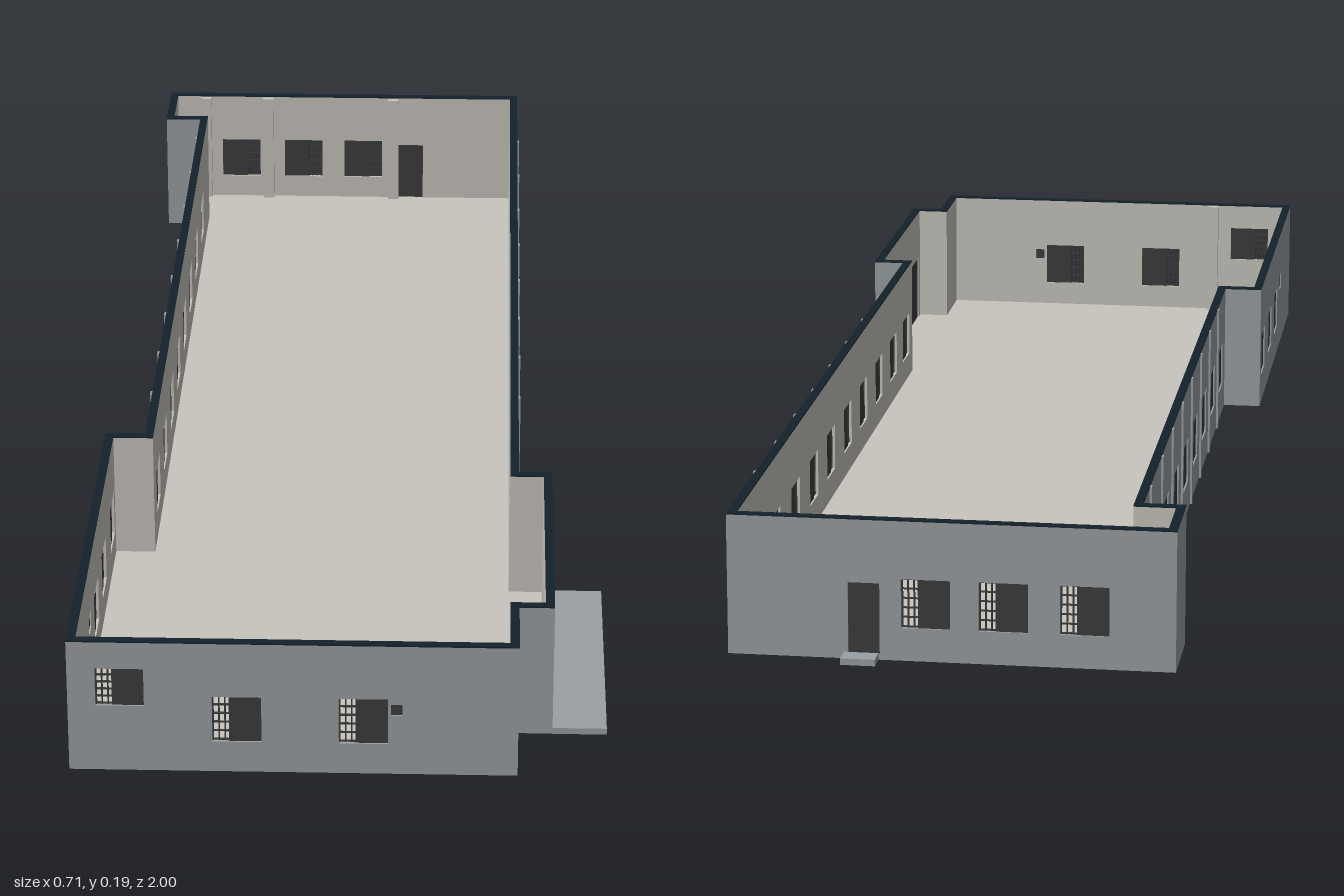
import * as THREE from 'three';

const mat = (name, color) => {
  const m = new THREE.MeshStandardMaterial({ color });
  m.name = name;
  return m;
};

export function createModel() {
  const root = new THREE.Group();
  root.name = 'openRoofBuilding';
  const grey = mat('outerWallGrey', 0x9aa0a3);
  const beige = mat('innerBeige', 0xc8c5bd);
  const navy = mat('wallTopNavy', 0x14222b);
  const dark = mat('windowDark', 0x3c3c3c);
  const pale = mat('paleDoor', 0xcdc6b6);
  const H = 0.193, T = 0.012, FLOOR = 0.008;

  const box = (parent, name, m, w, h, d, x, y, z) => {
    const b = new THREE.Mesh(new THREE.BoxGeometry(w, h, d), m);
    b.position.set(x, y, z);
    b.name = name;
    parent.add(b);
    return b;
  };

  // Outer plan as [x, z], walked so the outside is always on the right hand
  const plan = [
    [-0.357, 0.998], [0.237, 0.998], [0.237, 0.885], [0.284, 0.885],
    [0.284, 0.482], [0.237, 0.482], [0.237, -0.972], [-0.357, -0.972],
    [-0.357, -0.851], [-0.3, -0.851], [-0.3, 0.374], [-0.357, 0.374],
  ];
  const n = plan.length;
  const at = (i) => plan[(i + n) % n];
  const dir = (i) => {
    const a = at(i), b = at(i + 1), l = Math.hypot(b[0] - a[0], b[1] - a[1]);
    return [(b[0] - a[0]) / l, (b[1] - a[1]) / l];
  };
  // Inset of the right-angled plan; outward normal of a wall is (-dz, dx)
  const inset = (d) => plan.map((p, i) => {
    const e = dir((i + n - 1) % n), f = dir(i);
    return new THREE.Vector2(p[0] + (e[1] + f[1]) * d, -(p[1] - (e[0] + f[0]) * d));
  });
  const convex = (i) => {
    const e = dir((i + n - 1) % n), f = dir((i + n) % n);
    return e[0] * f[1] - e[1] * f[0] < 0;
  };
  const slab = (name, m, shape, y, h) => {
    const g = new THREE.ExtrudeGeometry(shape, { depth: h, bevelEnabled: false });
    g.rotateX(-Math.PI / 2);
    const mesh = new THREE.Mesh(g, m);
    mesh.position.y = y;
    mesh.name = name;
    root.add(mesh);
  };

  // Openings per wall: c = centre along the wall's world axis
  const win = (c) => ({ c, w: 0.065, y0: 0.045, y1: 0.112, kind: 'window' });
  const row = [0.305, 0.166, 0.022, -0.118, -0.262, -0.401, -0.545, -0.69];
  const openings = {
    0: [{ c: -0.288, w: 0.064, y0: 0.097, y1: 0.152, kind: 'window' }, win(-0.134), win(0.033),
      { c: 0.077, w: 0.015, y0: 0.088, y1: 0.104, kind: 'vent' }],
    3: [{ c: 0.81, w: 0.091, y0: FLOOR, y1: 0.112, kind: 'darkDoor' }, win(0.695),
      { c: 0.577, w: 0.054, y0: FLOOR, y1: 0.112, kind: 'paleDoor' }],
    5: [win(0.432), ...row.map(win), { c: -0.904, w: 0.043, y0: 0.118, y1: 0.163, kind: 'vent' }],
    6: [{ c: 0.055, w: 0.042, y0: FLOOR, y1: 0.105, kind: 'darkDoor' },
      win(-0.027), win(-0.13), win(-0.237)],
    9: row.map(win),
    11: [win(0.432), win(0.572), win(0.694),
      { c: 0.79, w: 0.03, y0: 0.095, y1: 0.12, kind: 'vent' }],
  };

  // Fill one opening: barred gap on the left and a dark sash on the right
  const fill = (wall, o, u) => {
    const h = o.y1 - o.y0, cy = (o.y0 + o.y1) / 2, z = -T / 2;
    if (o.kind !== 'window') {
      box(wall, o.kind, o.kind === 'paleDoor' ? pale : dark, o.w, h, T * 0.7, u, cy, z);
      return;
    }
    const g = new THREE.Group();
    g.name = 'window';
    g.position.set(u, cy, z);
    wall.add(g);
    const sash = o.w * 0.66;
    box(g, 'sash', dark, sash, h, T * 0.6, (o.w - sash) / 2, 0, 0);
    const gap = o.w - sash;
    for (let i = 0; i < 3; i++)
      box(g, 'uprightBar', dark, 0.002, h, 0.004, -o.w / 2 + 0.001 + i * gap * 0.36, 0, 0);
    for (let i = 0; i < 6; i++)
      box(g, 'crossBar', dark, gap, 0.0018, 0.003, -o.w / 2 + gap / 2, -h / 2 + 0.001 + i * (h - 0.002) / 5, 0);
  };

  // Walls: a grey outer leaf and a beige inner leaf, both pierced
  plan.forEach((a, i) => {
    const b = at(i + 1), d = dir(i);
    const len = Math.hypot(b[0] - a[0], b[1] - a[1]);
    const wall = new THREE.Group();
    wall.name = 'wall';
    wall.position.set(a[0], 0, a[1]);
    wall.rotation.y = Math.atan2(-d[1], d[0]);
    root.add(wall);
    const axis = Math.abs(d[0]) > 0.5 ? 0 : 1;
    const list = (openings[i] || []).map((o) => ({ o, u: Math.abs(o.c - a[axis]) }));

    const leaf = (name, m, trimConvex, trimReflex, z) => {
      const u0 = convex(i) ? trimConvex : trimReflex;
      const u1 = len - (convex(i + 1) ? trimConvex : trimReflex);
      const s = new THREE.Shape([[u0, 0], [u1, 0], [u1, H - 0.002], [u0, H - 0.002]]
        .map((p) => new THREE.Vector2(...p)));
      for (const { o, u } of list) {
        const l = u - o.w / 2, r = u + o.w / 2;
        s.holes.push(new THREE.Path([[l, o.y0], [l, o.y1], [r, o.y1], [r, o.y0]]
          .map((p) => new THREE.Vector2(...p))));
      }
      const mesh = new THREE.Mesh(
        new THREE.ExtrudeGeometry(s, { depth: T / 2, bevelEnabled: false }), m);
      mesh.position.z = z;
      mesh.name = name;
      wall.add(mesh);
    };
    leaf('outerLeaf', grey, 0, -T / 2, -T / 2);
    leaf('innerLeaf', beige, T / 2, -T, -T);
    list.forEach(({ o, u }) => fill(wall, o, u));
  });

  // Floor and dark coping along the wall tops
  slab('floor', beige, new THREE.Shape(inset(T / 2)), 0, FLOOR);
  const coping = new THREE.Shape(inset(0));
  coping.holes.push(new THREE.Path(inset(T)));
  slab('coping', navy, coping, H - 0.002, 0.002);

  // Slim pilasters between the windows of both long walls
  for (const z of [0.235, 0.094, -0.048, -0.19, -0.331, -0.473, -0.617, -0.767])
    for (const x of [0.237, -0.3])
      box(root, 'pilaster', grey, 0.006, H - 0.001, 0.01, x, (H - 0.001) / 2, z);

  // Inner piers on the end walls
  for (const [x, z] of [[-0.297, -0.956], [-0.19, -0.956], [0.025, -0.956], [-0.225, 0.982]])
    box(root, 'innerPier', beige, 0.018, H - 0.003, 0.01, x, (H - 0.003) / 2, z);

  // Entrance slab and rear step
  box(root, 'entranceSlab', grey, 0.073, 0.009, 0.395, 0.3205, 0.0045, 0.688);
  box(root, 'rearStep', grey, 0.046, 0.009, 0.028, 0.059, 0.0045, -0.986);
  return root;
}
